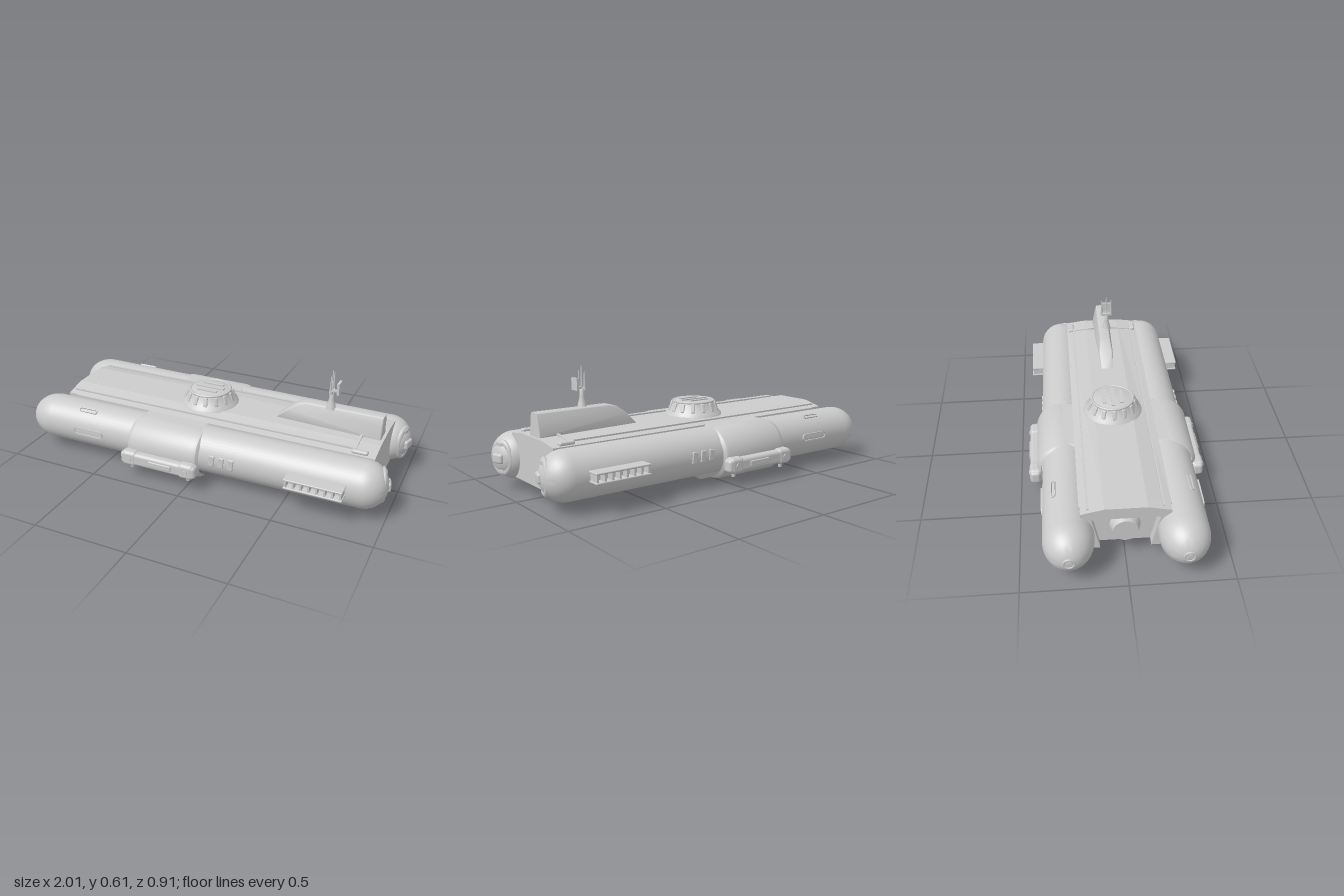
import * as THREE from 'three';
import { RoundedBoxGeometry } from 'three/addons/geometries/RoundedBoxGeometry.js';
import { toCreasedNormals } from 'three/addons/utils/BufferGeometryUtils.js';

const grey = new THREE.MeshStandardMaterial({ color: 0xcccccc });
const V2 = (p) => p.map(([a, b]) => new THREE.Vector2(a, b));

function add(parent, name, geo, x = 0, y = 0, z = 0) {
  const m = new THREE.Mesh(geo, grey);
  m.name = name;
  m.position.set(x, y, z);
  parent.add(m);
  return m;
}
const box = (w, h, d) => new THREE.BoxGeometry(w, h, d);
const round = (w, h, d, r) => new RoundedBoxGeometry(w, h, d, 3, r);

// Moves every vertex by a rule
function bend(geo, rule) {
  const p = geo.attributes.position, v = new THREE.Vector3();
  for (let i = 0; i < p.count; i++) {
    rule(v.fromBufferAttribute(p, i));
    p.setXYZ(i, v.x, v.y, v.z);
  }
  geo.computeVertexNormals();
  return geo;
}
// Cross-section given as [z, y], swept along x
function prism(section, x0, x1) {
  const shape = new THREE.Shape(V2(section.map(([z, y]) => [-z, y])));
  const g = new THREE.ExtrudeGeometry(shape, { depth: x1 - x0, bevelEnabled: false });
  return g.rotateY(Math.PI / 2).translate(x0, 0, 0);
}
// Profile given as [radius, x], turned about the x axis
const turned = (profile, crease = 0.6) =>
  toCreasedNormals(new THREE.LatheGeometry(V2(profile), 48).rotateZ(-Math.PI / 2), crease);

// Long oval ring lying against a hull side
function ovalFrame(w, h, t, depth) {
  const oval = (C, a, b) => {
    const s = new C(), k = a / 2 - b / 2;
    s.absarc(k, 0, b / 2, -Math.PI / 2, Math.PI / 2);
    s.absarc(-k, 0, b / 2, Math.PI / 2, Math.PI * 1.5);
    return s;
  };
  const s = oval(THREE.Shape, w, h);
  s.holes.push(oval(THREE.Path, w - t, h - t));
  return new THREE.ExtrudeGeometry(s, { depth, bevelEnabled: false, curveSegments: 8 }).translate(0, 0, -depth / 2);
}

function centreBody(g) {
  const section = [[-0.2, 0.065], [0.2, 0.065], [0.215, 0.1], [0.215, 0.285], [0.1, 0.312], [-0.1, 0.312], [-0.215, 0.285], [-0.215, 0.1]];
  const hull = prism(section, -0.77, 0.91);
  add(g, 'centreHull', bend(hull, (v) => { if (v.x > 0.9 && v.y > 0.3) v.y -= 0.012; }));
  add(g, 'deckOverhang', prism([[-0.21, 0.25], [0.21, 0.25], [0.21, 0.287], [0.1, 0.312], [-0.1, 0.312], [-0.21, 0.287]], -0.82, -0.76));
  const hatch = new THREE.CylinderGeometry(0.06, 0.075, 0.05, 32).rotateZ(Math.PI / 2);
  add(g, 'endHatch', hatch, -0.79, 0.165, 0);
  for (const s of [-1, 1]) {
    add(g, 'endCheek', prism([[s * 0.12, 0.07], [s * 0.2, 0.07], [s * 0.2, 0.25], [s * 0.16, 0.25]], -0.82, -0.76));
    add(g, 'deckRail', box(1.6, 0.008, 0.008), 0, 0.298, s * 0.175);
    add(g, 'deckCleat', round(0.08, 0.02, 0.03, 0.008), 0.83, 0.294, s * 0.19);
    add(g, 'deckEdge', box(0.012, 0.01, 0.2), 0.8, 0.3, s * 0.1).rotation.x = s * 0.13;
    // Runners hung below the belly
    add(g, 'bellyRod', box(0.36, 0.008, 0.02), 0.45, 0.06, s * 0.095);
    for (let i = 0; i < 4; i++) {
      add(g, 'bellyFitting', new THREE.CylinderGeometry(0.007, 0.012, 0.024, 10), 0.3 + i * 0.1, 0.052, s * 0.095);
    }
  }
}

function hatchDome(g) {
  const d = new THREE.Group();
  d.name = 'hatchDome';
  d.position.set(-0.05, 0, 0);
  const profile = [[0.155, 0.303], [0.15, 0.314], [0.132, 0.33], [0.118, 0.36], [0.112, 0.374], [0.1, 0.38], [0, 0.38]];
  add(d, 'domeShell', toCreasedNormals(new THREE.LatheGeometry(V2(profile), 48), 0.6));
  add(d, 'domeRim', new THREE.TorusGeometry(0.108, 0.007, 8, 48).rotateX(Math.PI / 2), 0, 0.375, 0);
  for (let i = 0; i < 14; i++) {
    const a = (i / 14) * Math.PI * 2;
    const rib = add(d, 'domeRib', round(0.016, 0.05, 0.022, 0.006), Math.cos(a) * 0.122, 0.348, Math.sin(a) * 0.122);
    rib.rotation.set(0, -a, 0.35);
  }
  for (const z of [-0.045, 0, 0.045]) add(d, 'domeBar', box(0.16 - Math.abs(z), 0.01, 0.02), 0, 0.381, z);
  g.add(d);
}

function finAndMast(g) {
  // Fin side profile, narrowed toward the top and front
  const s = new THREE.Shape(V2([[0.34, 0.3], [0.41, 0.362], [0.46, 0.398], [0.5, 0.408], [0.89, 0.408], [0.89, 0.37], [0.89, 0.3]]));
  const fin = new THREE.ExtrudeGeometry(s, { depth: 0.08, bevelSize: 0.006, bevelThickness: 0.012, bevelSegments: 3 }).translate(0, 0, -0.04);
  bend(fin, (v) => {
    const up = THREE.MathUtils.clamp((v.y - 0.305) / 0.11, 0, 1);
    v.z *= (1 - 0.45 * up) * (v.x < 0.36 ? 0.6 : 1);
  });
  add(g, 'fin', toCreasedNormals(fin, 0.6));
  const m = new THREE.Group();
  m.name = 'mast';
  m.position.set(0.625, 0, 0.018);
  const mast = new THREE.LatheGeometry(V2([[0.026, 0.405], [0.02, 0.43], [0.012, 0.46], [0.011, 0.5], [0, 0.5]]), 16);
  add(m, 'mastPost', mast);
  add(m, 'mastHead', box(0.012, 0.06, 0.054), 0.036, 0.525, 0);
  add(m, 'mastArm', box(0.05, 0.01, 0.014), 0.012, 0.505, 0);
  add(m, 'mastYard', box(0.014, 0.014, 0.058), 0, 0.5, 0);
  for (const [z, top] of [[-0.028, 0.588], [0, 0.612], [0.028, 0.588]]) {
    add(m, 'antenna', new THREE.CylinderGeometry(0.0025, 0.006, top - 0.495, 8), 0, (top + 0.495) / 2, z);
  }
  g.add(m);
}

function sidePod(g, s) {
  const p = new THREE.Group();
  p.name = s > 0 ? 'frontPod' : 'backPod';
  // Pod hull: round ends, axis leaning slightly inward toward +x
  const r = 0.12, prof = [];
  for (let i = 0; i <= 14; i++) {
    const a = (i / 14) * Math.PI / 2;
    prof.push([r * Math.sin(a), -0.855 - 0.145 * Math.cos(a)]);
  }
  for (let i = 14; i >= 0; i--) {
    const a = (i / 14) * Math.PI / 2;
    prof.push([r * Math.sin(a), 0.88 + 0.115 * Math.cos(a)]);
  }
  const hull = turned(prof, 1);
  const pos = hull.attributes.position;
  for (let i = 0; i < pos.count; i++) pos.setZ(i, pos.getZ(i) - s * 0.009 * pos.getX(i));
  add(p, 'podHull', hull, 0, 0.165, s * 0.26);
  // Nose docking ring and port, set toward the centre line
  const nose = new THREE.Group();
  nose.name = 'noseRing';
  nose.position.set(0.974, 0.165, s * 0.22);
  nose.rotation.y = s * 0.28;
  const ring = new THREE.TorusGeometry(0.062, 0.016, 10, 32).rotateY(Math.PI / 2).scale(0.8, 1.2, 0.95);
  add(nose, 'noseCollar', ring, -0.014);
  add(nose, 'nosePort', round(0.03, 0.05, 0.065, 0.012), 0.01);
  for (const y of [-0.068, 0.068]) add(nose, 'noseLug', round(0.04, 0.03, 0.04, 0.01), -0.018, y);
  p.add(nose);
  add(p, 'bowPort', new THREE.TorusGeometry(0.025, 0.006, 8, 24).rotateY(Math.PI / 2), -0.995, 0.165, s * 0.27);

  // Swollen middle bay
  const bay = turned([[0.115, -0.345], [0.128, -0.335], [0.135, -0.315], [0.135, 0.03], [0.13, 0.05], [0.115, 0.062]]);
  add(p, 'bay', bay, 0, 0.15, s * 0.275);
  add(p, 'bayShoulder', round(0.38, 0.07, 0.1, 0.025), -0.135, 0.25, s * 0.24);

  // Outboard equipment beam
  add(p, 'beam', round(0.43, 0.07, 0.055, 0.018), -0.147, 0.11, s * 0.42);
  add(p, 'beamMount', box(0.34, 0.04, 0.06), -0.147, 0.1, s * 0.385);
  add(p, 'beamPanel', round(0.13, 0.03, 0.012, 0.005), -0.13, 0.11, s * 0.447);
  for (const x of [-0.31, 0.016]) {
    add(p, 'beamEnd', round(0.085, 0.082, 0.064, 0.02), x, 0.11, s * 0.418);
    add(p, 'beamLamp', new THREE.CylinderGeometry(0.014, 0.014, 0.012, 20).rotateX(Math.PI / 2), x, 0.11, s * 0.449);
    add(p, 'beamFoot', new THREE.CylinderGeometry(0.012, 0.009, 0.03, 16), x, 0.062, s * 0.412);
  }

  // Slatted intake
  add(p, 'intakeBack', box(0.28, 0.03, 0.04), 0.675, 0.175, s * 0.375);
  for (const y of [0.153, 0.197]) add(p, 'intakeRail', round(0.29, 0.01, 0.07, 0.004), 0.675, y, s * 0.4);
  for (let i = 0; i < 8; i++) add(p, 'intakeSlat', box(0.01, 0.044, 0.05), 0.54 + i * 0.0386, 0.175, s * 0.405);

  // Oval ports and windows on the outer side
  add(p, 'sidePort', ovalFrame(0.18, 0.042, 0.014, 0.02), -0.595, 0.168, s * 0.381);
  for (let i = 0; i < 3; i++) {
    const w = add(p, 'sideWindow', round(0.03, 0.06, 0.012, 0.005), 0.13 + i * 0.052, 0.17, s * 0.376);
    w.rotation.z = -0.12 * s;
  }
  add(p, 'bowLamp', new THREE.SphereGeometry(0.014, 16, 10).scale(1.4, 0.6, 1), -0.88, 0.26, s * 0.31);
  const roof = add(p, 'roofPort', ovalFrame(0.11, 0.025, 0.01, 0.014), -0.62, 0.267, s * 0.327);
  roof.rotation.x = -s * 1.02;

  // Keel with sloping sides and ends
  const keel = prism([[s * 0.125, 0.068], [s * 0.182, 0.002], [s * 0.19, 0], [s * 0.218, 0], [s * 0.226, 0.006], [s * 0.265, 0.068]], -0.43, 0.07);
  bend(keel, (v) => { v.x += (v.x > -0.2 ? 1.3 : -0.5) * v.y; });
  add(p, 'keel', keel);
  g.add(p);
}

export function createModel() {
  const g = new THREE.Group();
  g.name = 'twinHullCraft';
  centreBody(g);
  hatchDome(g);
  finAndMast(g);
  for (const s of [1, -1]) sidePod(g, s);
  return g;
}
